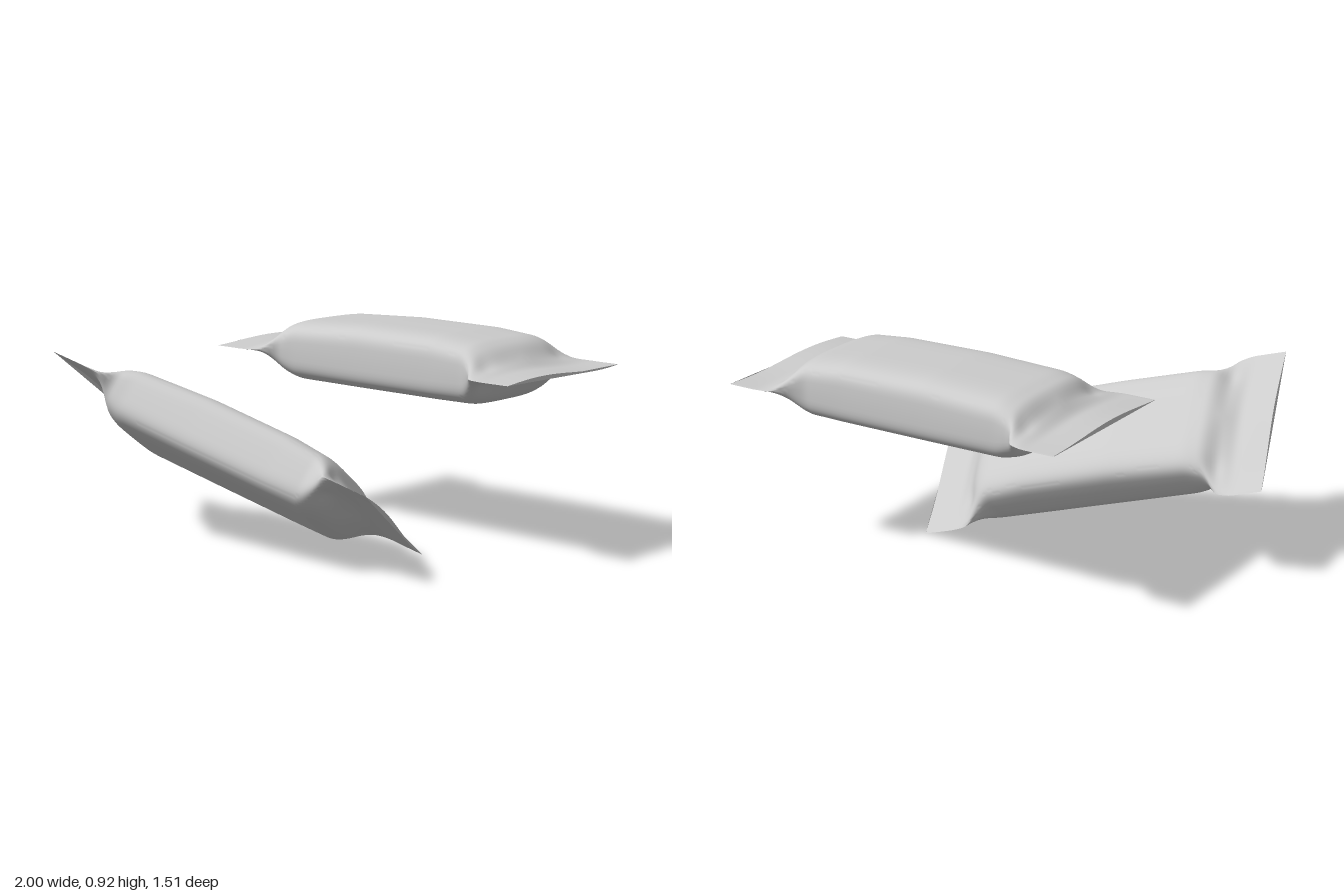
import * as THREE from 'three';
import { toCreasedNormals } from 'three/addons/utils/BufferGeometryUtils.js';

// Sections along the packet: x, half width, height above seam, depth below seam, squareness
const SECTIONS = [
  [-0.785, 0.378, 0.003, 0.003, 2],
  [-0.64, 0.38, 0.006, 0.006, 1.5],
  [-0.57, 0.36, 0.07, 0.07, 1.2],
  [-0.53, 0.29, 0.108, 0.125, 2.8],
  [-0.45, 0.279, 0.122, 0.14, 4],
  [-0.1, 0.275, 0.137, 0.141, 4.3],
  [0.3, 0.275, 0.132, 0.142, 4.3],
  [0.48, 0.279, 0.115, 0.141, 4],
  [0.535, 0.31, 0.095, 0.115, 2.5],
  [0.585, 0.372, 0.05, 0.07, 1.25],
  [0.645, 0.38, 0.007, 0.007, 1.4],
  [0.785, 0.378, 0.003, 0.003, 2],
];

function sectionAt(x) {
  let i = 0;
  while (i < SECTIONS.length - 2 && x > SECTIONS[i + 1][0]) i++;
  const a = SECTIONS[i], b = SECTIONS[i + 1];
  const t = THREE.MathUtils.clamp((x - a[0]) / (b[0] - a[0]), 0, 1);
  return a.map((v, k) => v + (b[k] - v) * t);
}

// Average neighbouring sections so the film bends softly
function softSection(x) {
  const offsets = [-0.018, -0.009, 0, 0.009, 0.018];
  const sum = [0, 0, 0, 0, 0];
  for (const o of offsets) sectionAt(x + o).forEach((v, k) => { sum[k] += v / offsets.length; });
  return sum;
}

function packetGeometry() {
  const rows = 130, sides = 72;
  const pos = [], index = [];
  for (let r = 0; r <= rows; r++) {
    const x = -0.785 + 1.57 * r / rows;
    const [, w, top, bottom, p] = softSection(x);
    // Seals ripple; the filled body stays straight
    const seal = THREE.MathUtils.smoothstep(Math.abs(x), 0.5, 0.72);
    for (let s = 0; s < sides; s++) {
      const a = 2 * Math.PI * s / sides;
      const c = Math.cos(a), n = Math.sin(a);
      const round = v => Math.sign(v) * Math.pow(Math.abs(v) < 1e-6 ? 0 : Math.abs(v), 2 / p);
      const z = w * round(c);
      let y = round(n) * (n > 0 ? top : bottom);
      // Pinched folds where the corners gather into the seals
      const ex = (Math.abs(x) - 0.575) / 0.03, ez = (Math.abs(z) - 0.25) / 0.045;
      y *= 1 - 0.3 * Math.exp(-ex * ex - ez * ez);
      y += seal * (0.009 * Math.sin(z * 8 + (x > 0 ? 0.3 : 1.2)) + (x < 0 ? 0.008 : 0));
      pos.push(x - 0.02 * seal * (x < 0 ? z : 0), y, z);
    }
  }
  for (let r = 0; r < rows; r++) {
    for (let s = 0; s < sides; s++) {
      const t = (s + 1) % sides;
      const a = r * sides + s, b = r * sides + t, c = a + sides, d = b + sides;
      index.push(a, b, c, b, d, c);
    }
  }
  // Close the thin outer edges of the seals
  const last = rows * sides;
  for (let s = 1; s < sides - 1; s++) {
    index.push(0, s + 1, s, last, last + s, last + s + 1);
  }
  const g = new THREE.BufferGeometry();
  g.setAttribute('position', new THREE.Float32BufferAttribute(pos, 3));
  g.setIndex(index);
  return toCreasedNormals(g, 0.9);
}

export function createModel() {
  const group = new THREE.Group();
  group.name = 'snackPackets';
  const material = new THREE.MeshStandardMaterial({ color: 0xcccccc, side: THREE.DoubleSide });
  const geometry = packetGeometry();

  // Level packet at the back
  const upper = new THREE.Mesh(geometry, material);
  upper.name = 'levelPacket';
  upper.position.set(0.205, 0.778, -0.38);
  group.add(upper);

  // Tilted packet at the front
  const lower = new THREE.Mesh(geometry, material);
  lower.name = 'tiltedPacket';
  const along = new THREE.Vector3(1.475, -0.427, -0.26).normalize();
  const across = new THREE.Vector3(0.205, 0.388, 0.622);
  across.addScaledVector(along, -across.dot(along)).normalize();
  const up = new THREE.Vector3().crossVectors(across, along);
  lower.quaternion.setFromRotationMatrix(new THREE.Matrix4().makeBasis(along, up, across));
  lower.position.set(-0.163, 0.404, 0.31);
  group.add(lower);
  return group;
}
